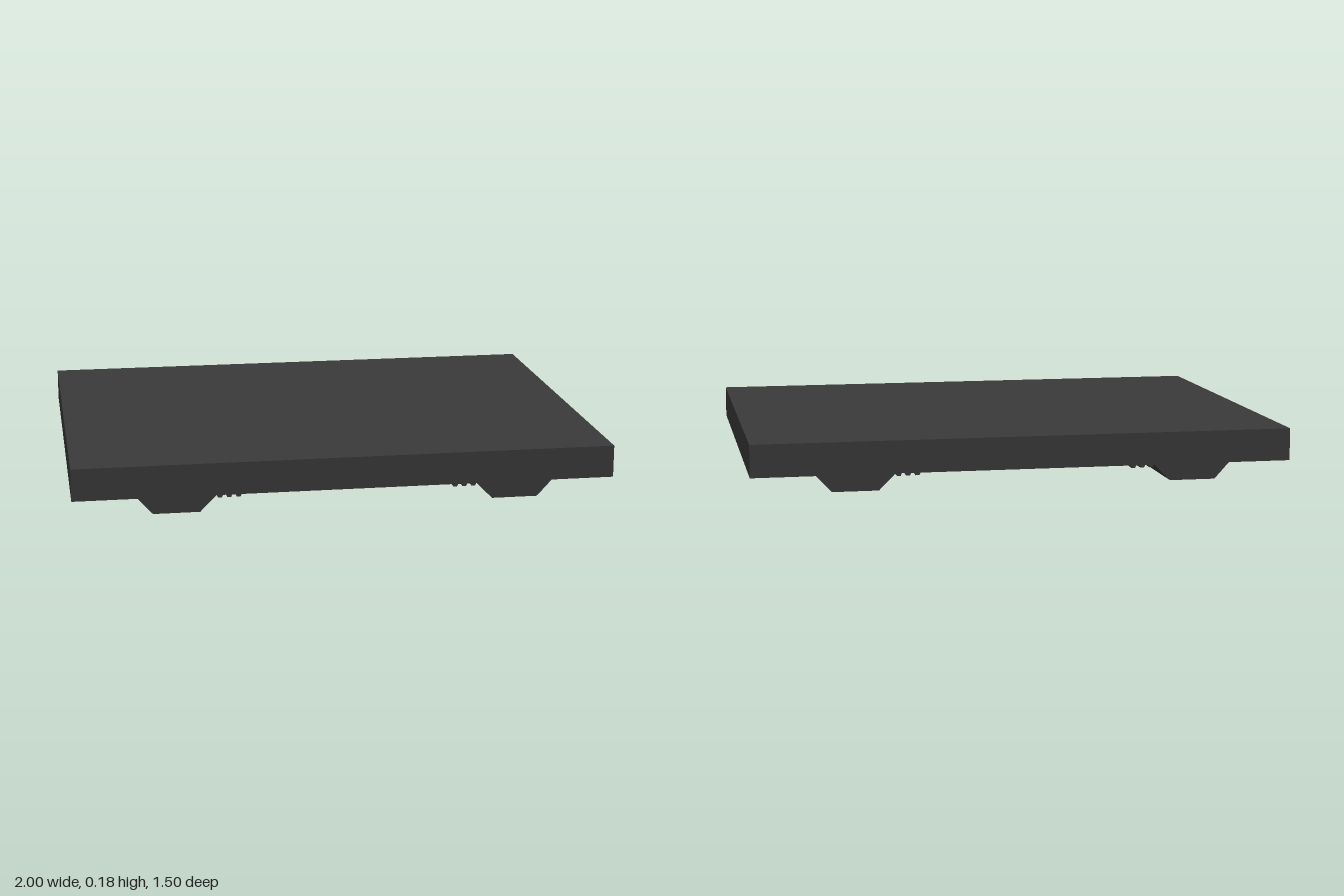
import * as THREE from 'three';

const WIDTH = 2, DEPTH = 1.5, TOP = 0.18, FLOOR = 0.06, RECESS = 0.02;

export function createModel() {
  const model = new THREE.Group();
  const material = new THREE.MeshStandardMaterial({ color: 0x3a3a3a, flatShading: true });

  const add = (name, geometry, x = 0, y = 0, z = 0) => {
    const mesh = new THREE.Mesh(geometry, material);
    mesh.name = name;
    mesh.position.set(x, y, z);
    model.add(mesh);
  };
  const box = (name, w, h, d, x, y, z) => add(name, new THREE.BoxGeometry(w, h, d), x, y, z);

  // Prism with an x/y outline, running from z0 to z1
  const prism = (name, points, z0, z1) => {
    const shape = new THREE.Shape(points.map(([x, y]) => new THREE.Vector2(x, y)));
    add(name, new THREE.ExtrudeGeometry(shape, { depth: z1 - z0, bevelEnabled: false }), 0, 0, z0);
  };

  const rectangle = (path, x0, z0, x1, z1) => {
    path.moveTo(x0, z0);
    path.lineTo(x1, z0);
    path.lineTo(x1, z1);
    path.lineTo(x0, z1);
    path.closePath();
    return path;
  };

  // Main slab
  box('slab', WIDTH, TOP - FLOOR - RECESS, DEPTH, 0, (TOP + FLOOR + RECESS) / 2, 0);

  // Underside layer, with a shallow channel beside each outer edge
  const underside = rectangle(new THREE.Shape(), -WIDTH / 2, -DEPTH / 2, WIDTH / 2, DEPTH / 2);
  for (const s of [-1, 1]) {
    underside.holes.push(rectangle(new THREE.Path(), s * 0.88 - 0.08, -0.69, s * 0.88 + 0.08, 0.69));
  }
  const layer = new THREE.ExtrudeGeometry(underside, { depth: RECESS, bevelEnabled: false });
  layer.rotateX(-Math.PI / 2);
  add('undersideLayer', layer, 0, FLOOR, 0);

  for (const s of [-1, 1]) {
    // Runner: full height at both ends, shallower in the middle
    const runner = (inset, bottom) => [
      [s * (0.48 + inset), FLOOR + 0.005],
      [s * (0.48 + inset), FLOOR],
      [s * (0.54 + inset), bottom],
      [s * (0.71 - inset), bottom],
      [s * (0.765 - inset), FLOOR],
      [s * (0.765 - inset), FLOOR + 0.005],
    ];
    prism('runnerBackEnd', runner(0, 0), -0.75, -0.25);
    prism('runnerMiddle', runner(0.006, 0.012), -0.25, 0.25);
    prism('runnerFrontEnd', runner(0, 0), 0.25, 0.75);

    // Grip ridges along the inner side of the runner
    for (const x of [0.4, 0.434, 0.468]) {
      prism('gripRidge', [
        [s * x - 0.013, FLOOR + 0.004],
        [s * x - 0.007, 0.051],
        [s * x + 0.007, 0.051],
        [s * x + 0.013, FLOOR + 0.004],
      ], -0.75, 0.75);
    }

    // Thin corner pads
    for (const z of [-0.67, 0.67]) {
      box('cornerPad', 0.14, 0.006, 0.1, s * 0.29, FLOOR, z);
    }
  }

  // Row of raised panels down the middle
  for (const z of [-0.555, -0.185, 0.185, 0.555]) {
    box('centrePanel', 0.18, 0.01, 0.25, 0, FLOOR, z);
  }

  return model;
}
